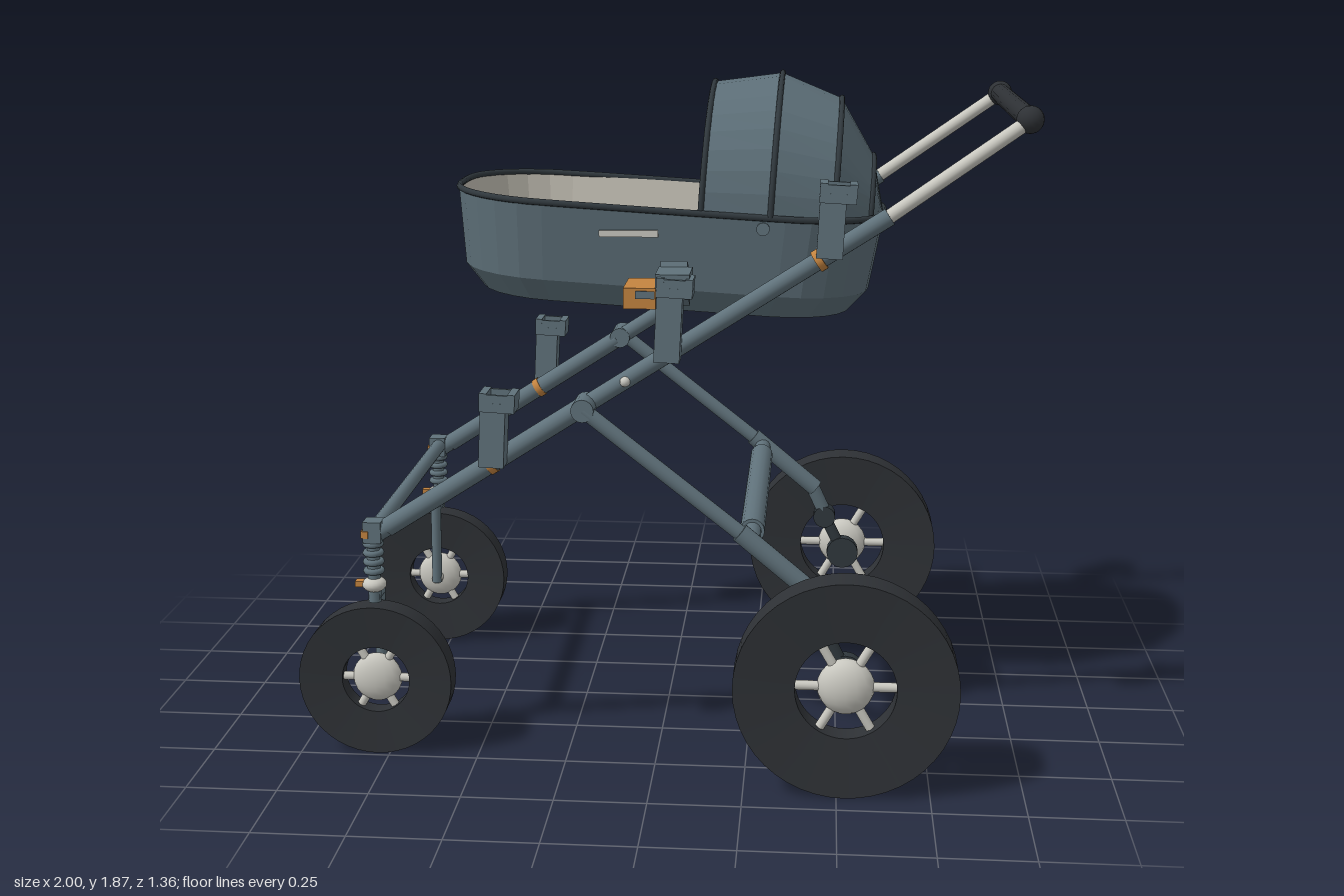
import * as THREE from 'three';

const paint = (name, color, extra = {}) => Object.assign(new THREE.MeshStandardMaterial({ color, ...extra }), { name });
const V = (x, y, z) => new THREE.Vector3(x, y, z);

export function createModel() {
  const model = new THREE.Group();
  model.name = 'pram';
  const slate = paint('slate', 0x60727b);
  const fabric = paint('slateFabric', 0x5c6e77, { flatShading: true, side: THREE.DoubleSide });
  const trim = paint('darkTrim', 0x30383d);
  const rubber = paint('blackRubber', 0x2e3135);
  const metal = paint('paleMetal', 0xc9c8c0);
  const lining = paint('lining', 0xbfbbb0, { flatShading: true });
  const mattress = paint('mattress', 0xc3c8bd, { flatShading: true });
  const orange = paint('orange', 0xc48440);

  const add = (name, geo, mat, parent = model) => {
    const m = new THREE.Mesh(geo, mat);
    m.name = name;
    parent.add(m);
    return m;
  };
  const rod = (name, a, b, r, mat, parent, r2 = r) => {
    const d = b.clone().sub(a);
    const m = add(name, new THREE.CylinderGeometry(r2, r, d.length(), 16), mat, parent);
    m.position.copy(a).addScaledVector(d, 0.5);
    m.quaternion.setFromUnitVectors(V(0, 1, 0), d.normalize());
    return m;
  };
  const box = (name, x, y, z, w, h, d, mat, parent) => {
    const m = add(name, new THREE.BoxGeometry(w, h, d), mat, parent);
    m.position.set(x, y, z);
    return m;
  };
  const ball = (name, x, y, z, r, mat, parent) => {
    const m = add(name, new THREE.SphereGeometry(r, 16, 12), mat, parent);
    m.position.set(x, y, z);
    return m;
  };
  // Skin stretched over a row of equal-length point rings
  const loft = (rings) => {
    const pts = [];
    for (let k = 0; k < rings.length - 1; k++) {
      const a = rings[k], b = rings[k + 1];
      for (let i = 0; i < a.length - 1; i++) pts.push(a[i], b[i], a[i + 1], a[i + 1], b[i], b[i + 1]);
    }
    const g = new THREE.BufferGeometry().setFromPoints(pts);
    g.computeVertexNormals();
    return g;
  };

  // ---- Carrycot, tilted slightly down towards the handle
  const cot = new THREE.Group();
  cot.name = 'carrycot';
  cot.position.set(0.01, 1.52, 0);
  cot.rotation.z = -0.06;
  model.add(cot);
  const ring = (hx, hz, y) => {
    const r = hz * 0.82, out = [];
    for (let q = 0; q < 4; q++) {
      const cx = (q === 0 || q === 3 ? 1 : -1) * (hx - r), cz = (q < 2 ? 1 : -1) * (hz - r);
      for (let i = 0; i <= 6; i++) {
        const t = (q + i / 6) * Math.PI / 2;
        out.push(V(cx + r * Math.cos(t), y, cz + r * Math.sin(t)));
      }
    }
    out.push(out[0].clone());
    return out;
  };
  const centre = (y) => ring(0, 0, y);
  add('cotShell', loft([centre(-0.278), ring(0.52, 0.27, -0.278), ring(0.572, 0.308, -0.215), ring(0.6, 0.33, 0)]), fabric, cot);
  add('cotLining', loft([ring(0.595, 0.325, 0), ring(0.555, 0.29, -0.19), ring(0.535, 0.27, -0.2)]), lining, cot);
  add('mattress', loft([ring(0.535, 0.27, -0.2), ring(0.51, 0.25, -0.185), centre(-0.185)]), mattress, cot);
  const tube = (name, pts, r, closed, parent) =>
    add(name, new THREE.TubeGeometry(new THREE.CatmullRomCurve3(pts, closed), 72, r, 8, closed), trim, parent);
  tube('cotRim', ring(0.598, 0.328, 0).filter((p, i, a) => i < a.length - 1), 0.009, true, cot);

  // ---- Hood panels and ribs
  const arc = (x, h, w) => Array.from({ length: 19 }, (_, i) => {
    const t = Math.PI * i / 18;
    return V(x, h * Math.sin(t), w * Math.cos(t));
  });
  const bows = [[0.1, 0.328, 0.328], [0.287, 0.364, 0.332], [0.457, 0.305, 0.288], [0.558, 0.152, 0.18]];
  add('hood', loft([...bows.map((b) => arc(...b)), arc(0.597, 0, 0.08)]), fabric, cot);
  bows.forEach((b) => tube('hoodRib', arc(...b), 0.008, false, cot));

  // ---- Wheel: dished tyre, hub and six spokes
  const wheel = (name, x, y, z, R, hole, hubR, half) => {
    const g = new THREE.Group();
    g.name = name;
    g.position.set(x, y, z);
    model.add(g);
    const k = half * 0.72;
    const side = [[hole, -k, R, -half], [R, -half, R, half], [R, half, hole, k], [hole, k, hole, -k]];
    side.forEach(([r1, y1, r2, y2]) => {
      const t = add('tyre', new THREE.LatheGeometry([new THREE.Vector2(r1, y1), new THREE.Vector2(r2, y2)], 48), rubber, g);
      t.rotation.x = Math.PI / 2;
    });
    ball('hub', 0, 0, 0, hubR, metal, g).scale.z = half * 0.95 / hubR;
    for (let i = 0; i < 6; i++) {
      const t = i * Math.PI / 3, c = Math.cos(t), s = Math.sin(t);
      rod('spoke', V(c * hubR * 0.6, s * hubR * 0.6, 0), V(c * (hole + 0.01), s * (hole + 0.01), 0), hubR * 0.17, metal, g);
    }
  };

  // Point on the main rail at a given x
  const rail = (x) => 0.63 + (x + 0.78) * 0.647;

  // ---- Everything that exists once on each side
  for (const s of [1, -1]) {
    const P = (x, y, z) => V(x, y, z * s);
    const label = s > 0 ? 'front' : 'back';
    const g = new THREE.Group();
    g.name = label + 'SideFrame';
    model.add(g);

    wheel('largeWheel', 0.52, 0.3, 0.63 * s, 0.3, 0.135, 0.077, 0.048);
    wheel('smallWheel', -0.785, 0.215, 0.45 * s, 0.215, 0.095, 0.07, 0.036);

    // Main rail and telescopic handle arm
    rod('mainRail', P(-0.77, rail(-0.77), 0.455), P(0.61, rail(0.61), 0.455), 0.024, slate, g);
    rod('railSleeve', P(-0.74, rail(-0.74), 0.455), P(-0.2, rail(-0.2), 0.455), 0.027, slate, g);
    rod('handleArm', P(0.6, rail(0.6), 0.455), P(0.955, 1.775, 0.445), 0.019, metal, g);
    for (const x of [-0.45, 0.43]) {
      rod('railBand', P(x - 0.008, rail(x - 0.008), 0.455), P(x + 0.008, rail(x + 0.008), 0.455), 0.03, orange, g);
    }
    ball('railButton', -0.08, rail(-0.08), 0.478 * s, 0.014, metal, g);
    ball('handleEnd', 0.96, 1.78, 0.44 * s, 0.036, rubber, g);

    // Wheel leg, pivot and axle
    rod('legPivot', P(-0.19, 1.012, 0.43), P(-0.19, 1.012, 0.53), 0.031, slate, g);
    rod('upperLeg', P(-0.19, 1.012, 0.51), P(0.28, 0.642, 0.51), 0.021, slate, g);
    rod('lowerLeg', P(0.23, 0.682, 0.51), P(0.43, 0.515, 0.51), 0.027, slate, g);
    rod('legFoot', P(0.42, 0.52, 0.515), P(0.47, 0.41, 0.525), 0.022, slate, g);
    rod('swingArm', P(0.46, 0.42, 0.525), P(0.52, 0.3, 0.525), 0.018, trim, g);
    rod('legKnuckle', P(0.46, 0.42, 0.5), P(0.46, 0.42, 0.55), 0.035, trim, g);
    rod('axleCap', P(0.52, 0.3, 0.505), P(0.52, 0.3, 0.54), 0.05, trim, g);
    rod('axle', P(0.52, 0.3, 0.53), P(0.52, 0.3, 0.63), 0.015, metal, g);

    // Sprung swivel fork for the small wheel
    box('forkHead', -0.78, 0.645, 0.455 * s, 0.05, 0.06, 0.055, slate, g);
    box('forkHeadTab', -0.8, 0.64, 0.455 * s, 0.02, 0.02, 0.062, orange, g);
    rod('springCore', P(-0.783, 0.44, 0.455), P(-0.783, 0.63, 0.455), 0.018, slate, g);
    for (let i = 0; i < 4; i++) {
      const t = add('springCoil', new THREE.TorusGeometry(0.021, 0.009, 8, 20), slate, g);
      t.position.set(-0.783, 0.53 + i * 0.026, 0.455 * s);
      t.rotation.x = Math.PI / 2;
    }
    ball('swivel', -0.783, 0.49, 0.455 * s, 0.034, metal, g).scale.y = 0.65;
    box('swivelLock', -0.82, 0.492, 0.455 * s, 0.03, 0.016, 0.025, orange, g);
    rod('forkBridge', P(-0.783, 0.455, 0.465), P(-0.783, 0.455, 0.397), 0.017, slate, g);
    rod('forkLeg', P(-0.783, 0.465, 0.397), P(-0.785, 0.205, 0.397), 0.016, slate, g);
    rod('forkAxle', P(-0.785, 0.215, 0.39), P(-0.785, 0.215, 0.45), 0.017, metal, g);

    // Seat adapters: post, tray and raised lips
    for (const [x, y, h] of [[-0.435, 0.855, 0.16], [0.035, 1.15, 0.18], [0.455, 1.43, 0.15]]) {
      const a = new THREE.Group();
      a.name = 'adapter';
      a.position.set(x, y, 0.51 * s);
      a.rotation.z = -0.05;
      g.add(a);
      box('adapterPost', 0, h / 2, 0, 0.068, h, 0.066, slate, a);
      box('adapterTray', 0.012, h + 0.007, 0, 0.095, 0.025, 0.085, slate, a);
      for (const e of [-1, 1]) {
        box('adapterLip', 0.012 + e * 0.038, h + 0.03, 0, 0.02, 0.03, 0.085, slate, a);
        box('adapterLip', 0.012, h + 0.03, e * 0.037, 0.095, 0.024, 0.01, slate, a);
      }
    }

    // Carrycot mount
    box('mountArm', 0.045, 1.328, 0.355 * s, 0.072, 0.075, 0.15, slate, g).rotation.x = -0.5 * s;
    box('mountBlock', 0.05, 1.35, 0.47 * s, 0.09, 0.065, 0.13, slate, g);
    box('mountPost', 0.04, 1.255, 0.455 * s, 0.055, 0.15, 0.04, slate, g);
    box('mountLatch', -0.035, 1.32, 0.465 * s, 0.085, 0.055, 0.155, orange, g);
    box('latchCatch', -0.02, 1.33, 0.465 * s, 0.05, 0.02, 0.165, slate, g);

    // Trim bar and hood pivot on the carrycot side
    box('cotSideBar', -0.09, -0.068, 0.326 * s, 0.16, 0.018, 0.014, metal, cot).rotation.z = 0.07;
    rod('hoodPivot', P(0.27, -0.03, 0.31), P(0.27, -0.03, 0.334), 0.018, slate, cot);
  }

  // ---- Cross members and grip
  rod('frontCrossbar', V(-0.775, 0.65, -0.45), V(-0.775, 0.65, 0.45), 0.021, slate);
  rod('axleCrossbar', V(0.26, 0.652, -0.5), V(0.26, 0.652, 0.5), 0.025, slate);
  rod('axleCrossbarSleeve', V(0.26, 0.652, -0.4), V(0.26, 0.652, 0.4), 0.034, slate);
  rod('handleGrip', V(0.96, 1.78, -0.45), V(0.96, 1.78, 0.45), 0.028, rubber);
  return model;
}
